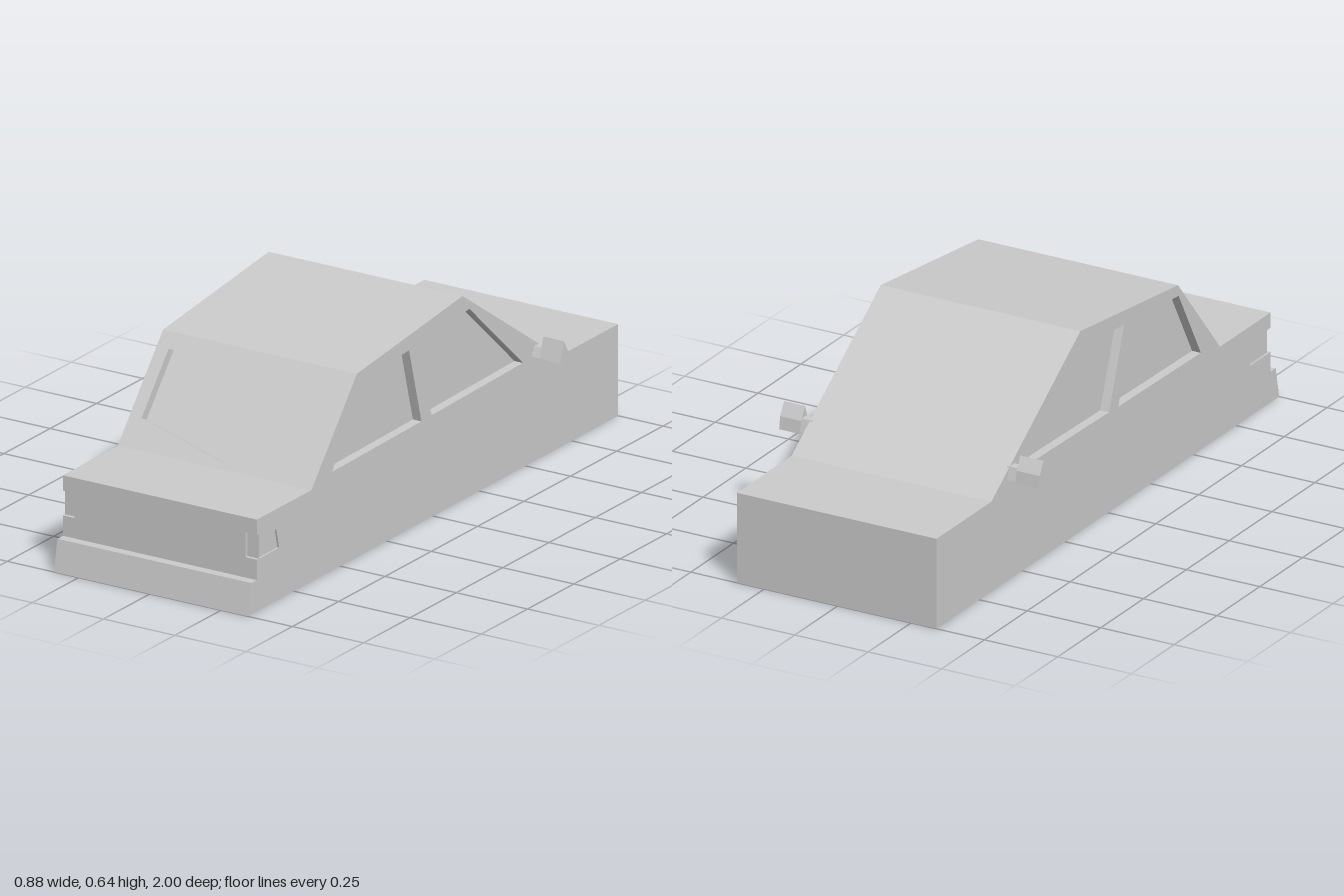
import * as THREE from 'three';

const W = 0.34; // half width of the body
const grey = new THREE.MeshStandardMaterial({ color: 0xcccccc, flatShading: true });

const toVectors = (pts) => pts.map(([x, y]) => new THREE.Vector2(x, y));

function makeMesh(name, positions) {
  const g = new THREE.BufferGeometry();
  g.setAttribute('position', new THREE.Float32BufferAttribute(positions, 3));
  g.computeVertexNormals();
  const m = new THREE.Mesh(g, grey);
  m.name = name;
  return m;
}

// Flat panel with recesses. map(u, v, t) places it in space: t = 0 is the
// surface. Each recess: { pts, depth, notch } (a notch is already cut from the
// outline and has no wall along its open edge).
function panel(name, outline, recesses, map, flip) {
  const out = [];
  const tri = (a, b, c) => out.push(...a, ...(flip ? c : b), ...(flip ? b : c));
  const fill = (shape, t) => {
    const g = new THREE.ShapeGeometry(shape).toNonIndexed();
    const p = g.attributes.position;
    const at = (i) => map(p.getX(i), p.getY(i), t);
    for (let i = 0; i < p.count; i += 3) tri(at(i), at(i + 1), at(i + 2));
  };
  const face = new THREE.Shape(toVectors(outline));
  for (const r of recesses) if (!r.notch) face.holes.push(new THREE.Path(toVectors(r.pts)));
  fill(face, 0);
  for (const { pts, depth, notch } of recesses) {
    const loop = toVectors(pts);
    if (THREE.ShapeUtils.isClockWise(loop)) loop.reverse();
    fill(new THREE.Shape(loop), depth);
    loop.forEach((p, i) => {
      const q = loop[(i + 1) % loop.length];
      if (notch && notch(p, q)) return;
      const a = map(p.x, p.y, 0), b = map(q.x, q.y, 0);
      const c = map(q.x, q.y, depth), d = map(p.x, p.y, depth);
      tri(a, b, c);
      tri(a, c, d);
    });
  }
  return makeMesh(name, out);
}

// Extrusion of a (z, y) section between two x positions
function bar(name, section, x0, x1) {
  const g = new THREE.ExtrudeGeometry(new THREE.Shape(toVectors(section)), {
    depth: x1 - x0, bevelEnabled: false,
  });
  g.rotateY(-Math.PI / 2).translate(x1, 0, 0);
  const m = new THREE.Mesh(g, grey);
  m.name = name;
  return m;
}

export function createModel() {
  const car = new THREE.Group();
  car.name = 'car';
  const body = new THREE.Group();
  body.name = 'body';
  body.position.x = 0.003;
  car.add(body);

  // Side profile (z, y)
  const profile = [
    [1, 0], [0.98, 0.098], [0.95, 0.098], [0.95, 0.288], [0.655, 0.288],
    [0.41, 0.576], [-0.16, 0.641], [-0.68, 0.288], [-1, 0.288], [-1, 0],
  ];
  const strips = ['bumperFront', 'bumperTop', null, 'lowerDeck', null,
    'roof', 'longSlope', 'upperDeck', 'endPanel', 'floor'];
  strips.forEach((name, i) => {
    if (!name) return;
    const [z0, y0] = profile[i];
    const [z1, y1] = profile[(i + 1) % profile.length];
    const a = [-W, y0, z0], b = [W, y0, z0], c = [W, y1, z1], d = [-W, y1, z1];
    body.add(makeMesh(name, [...a, ...b, ...c, ...a, ...c, ...d]));
  });

  // Sides with two windows and the side part of the corner lamps
  const lampLow = 0.162, lampHigh = 0.24, lampZ = 0.939;
  const lampBack = [[0.83, lampLow], [0.845, 0.225]];
  const sideOutline = [
    ...profile.slice(0, 3), [0.95, lampLow], ...lampBack, [0.95, lampHigh], ...profile.slice(3),
  ];
  const sideRecesses = [
    { depth: 0.03, pts: [[0.543, 0.31], [0.413, 0.541], [0.129, 0.562], [0.062, 0.317]] },
    { depth: 0.03, pts: [[0.096, 0.567], [-0.197, 0.589], [-0.486, 0.328], [0.007, 0.319]] },
    {
      depth: 0.006,
      pts: [[lampZ, lampLow], ...lampBack, [lampZ, lampHigh]],
      notch: (p, q) => p.x === lampZ && q.x === lampZ,
    },
  ];
  for (const s of [1, -1]) {
    body.add(panel(s > 0 ? 'leftSide' : 'rightSide', sideOutline, sideRecesses,
      (z, y, t) => [s * (W - t), y, z], s > 0));
  }

  // Front panel with lamp notches at both corners
  const inner = 0.3;
  const frontOutline = [
    [-W, 0.098], [W, 0.098], [W, lampLow], [inner, lampLow], [inner, lampHigh], [W, lampHigh],
    [W, 0.288], [-W, 0.288], [-W, lampHigh], [-inner, lampHigh], [-inner, lampLow], [-W, lampLow],
  ];
  const lamps = [1, -1].map((s) => ({
    depth: 0.95 - lampZ,
    pts: [[s * inner, lampLow], [s * W, lampLow], [s * W, lampHigh], [s * inner, lampHigh]],
    notch: (p, q) => p.x === s * W && q.x === s * W,
  }));
  body.add(panel('frontPanel', frontOutline, lamps, (x, y, t) => [x, y, 0.95 - t], false));

  // Sloping window frame with its pointed window
  body.add(panel('slopedWindow',
    [[-W, 0.288], [W, 0.288], [W, 0.576], [-W, 0.576]],
    [{ depth: 1, pts: [[-0.298, 0.363], [0.022, 0.303], [0.305, 0.363], [0.305, 0.535], [-0.298, 0.535]] }],
    (x, y, t) => [x, y - 0.012 * t, 0.655 - (y - 0.288) * (0.245 / 0.288) - 0.028 * t], false));

  // Wing mirrors: wedge head on a short stalk
  const head = [[-0.533, 0.331], [-0.555, 0.395], [-0.578, 0.355], [-0.583, 0.315]];
  const stalk = [[-0.533, 0.333], [-0.547, 0.362], [-0.575, 0.362], [-0.586, 0.324]];
  car.add(bar('leftMirrorHead', head, 0.37, 0.442), bar('leftMirrorStalk', stalk, 0.335, 0.37));
  car.add(bar('rightMirrorHead', head, -0.442, -0.363), bar('rightMirrorStalk', stalk, -0.363, -0.33));
  return car;
}
